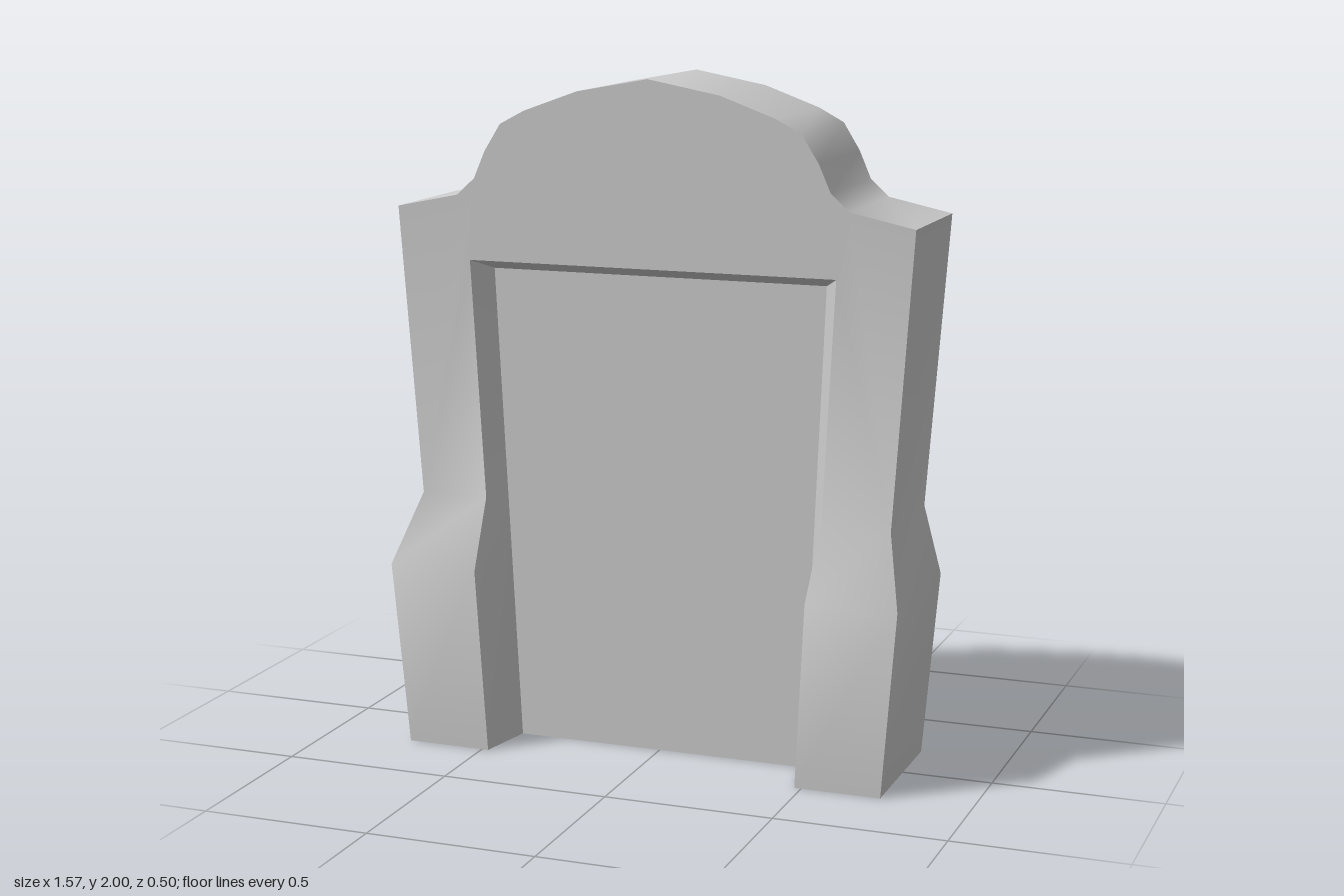
import * as THREE from 'three';
import { toCreasedNormals } from 'three/addons/utils/BufferGeometryUtils.js';

// Piecewise-linear lookup through [y, value] pairs
function lerpTable(table, y) {
  let i = 1;
  while (i < table.length - 1 && y > table[i][0]) i++;
  const [y0, v0] = table[i - 1], [y1, v1] = table[i];
  return v0 + (v1 - v0) * (y - y0) / (y1 - y0);
}

// Depth of the front, back and recessed surfaces at height y
const frontZ = y => lerpTable([[0, 0.24], [0.55, 0.255], [0.75, 0.14], [2, 0.155]], y);
const backZ = y => lerpTable([[0, -0.2], [2, -0.25]], y);
const panelZ = y => lerpTable([[0, 0.06], [1.43, 0.08]], y);

// Half widths of the recess at its mouth and at its panel
const mouthX = y => lerpTable([[0, 0.48], [1.46, 0.558]], y);
const panelX = y => lerpTable([[0, 0.445], [1.43, 0.51]], y);

// Right half of the silhouette, from the foot to the apex
const half = [
  [0.735, 0], [0.78, 0.55], [0.725, 0.75], [0.785, 1.61], [0.595, 1.65], [0.54, 1.7],
  [0.505, 1.78], [0.455, 1.86], [0.38, 1.9], [0.215, 1.96], [0, 2],
];

const mirror = points => points.map(([x, y]) => [-x, y]).reverse();
const at = (points, depth) => points.map(([x, y]) => [x, y, depth(y)]);

// Triangles filling a counter-clockwise outline
function fill(outline, depth) {
  const points = at(outline, depth);
  const flat = outline.map(([x, y]) => new THREE.Vector2(x, y));
  return THREE.ShapeUtils.triangulateShape(flat, []).flatMap(t => t.map(i => points[i]));
}

// Triangles joining two rows of points
function strip(a, b) {
  const out = [];
  for (let i = 0; i < a.length - 1; i++) {
    out.push(a[i], b[i], b[i + 1], a[i], b[i + 1], a[i + 1]);
  }
  return out;
}

const material = new THREE.MeshStandardMaterial({ color: 0xcccccc, side: THREE.DoubleSide });

function part(name, corners) {
  const geometry = new THREE.BufferGeometry();
  geometry.setAttribute('position', new THREE.Float32BufferAttribute(corners.flat(), 3));
  const mesh = new THREE.Mesh(toCreasedNormals(geometry, 0.7), material);
  mesh.name = name;
  return mesh;
}

export function createModel() {
  const group = new THREE.Group();
  group.name = 'headstone';
  const outline = [...half, ...mirror(half.slice(0, -1))];

  // Front frame: two stepped legs below, one arched piece above
  const front = [];
  for (const [lower, upper] of [[0, 1], [1, 2]]) {
    const [a, b] = [half[lower], half[upper]];
    const leg = [[mouthX(a[1]), a[1]], a, b, [mouthX(b[1]), b[1]]];
    front.push(...fill(leg, frontZ), ...fill(mirror(leg), frontZ));
  }
  const mouthTop = [[-mouthX(0.75), 0.75], [-mouthX(1.46), 1.46], [mouthX(1.46), 1.46], [mouthX(0.75), 0.75]];
  front.push(...fill([...outline.slice(2, -2), ...mouthTop], frontZ));
  group.add(part('frontFrame', front));

  // Sides and arched top; the underside stays open
  group.add(part('rim', strip(at(outline, frontZ), at(outline, backZ))));

  // Back slab
  const back = fill(outline, backZ);
  group.add(part('back', back.reverse()));

  // Slanted recess walls
  const mouth = [0, 0.55, 0.75, 1.46].map(y => [-mouthX(y), y]);
  const inner = [0, 0.55, 0.75, 1.43].map(y => [-panelX(y), y]);
  const mouthLoop = [...mouth, ...mirror(mouth)];
  const innerLoop = [...inner, ...mirror(inner)];
  group.add(part('recessWalls', strip(at(mouthLoop, frontZ), at(innerLoop, panelZ))));

  // Sunken inscription panel
  const panel = [[-panelX(0), 0], [panelX(0), 0], [panelX(1.43), 1.43], [-panelX(1.43), 1.43]];
  group.add(part('recessPanel', fill(panel, panelZ)));

  return group;
}
